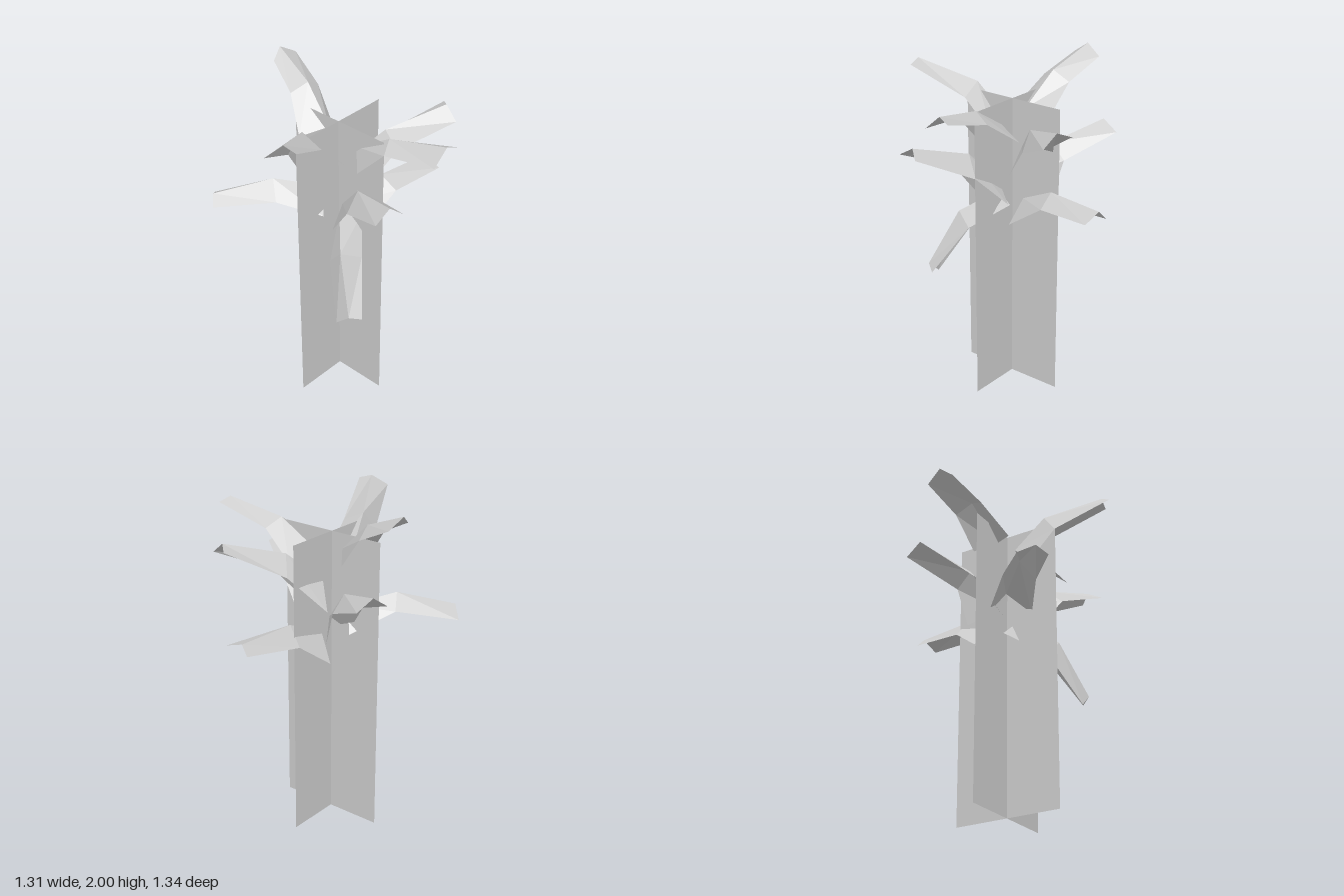
import * as THREE from 'three';

const material = new THREE.MeshStandardMaterial({
  color: 0xcccccc, flatShading: true, side: THREE.DoubleSide,
});

// A folded leaf lofted through cross-sections, each [edge, ridge, edge] points
function leaf(name, ...sections) {
  const geometry = new THREE.BufferGeometry();
  geometry.setAttribute('position', new THREE.Float32BufferAttribute(sections.flat(2), 3));
  const index = [];
  for (let row = 0; row < sections.length - 1; row++) {
    for (let col = 0; col < 2; col++) {
      const a = row * 3 + col, b = a + 1, c = a + 3, d = a + 4;
      index.push(a, b, d, a, d, c);
    }
  }
  geometry.setIndex(index);
  const flat = geometry.toNonIndexed();
  flat.computeVertexNormals();
  const mesh = new THREE.Mesh(flat, material);
  mesh.name = name;
  return mesh;
}

export function createModel() {
  const plant = new THREE.Group();
  plant.name = 'plant';

  // Two crossed upright panels form the stem
  const stem = new THREE.Group();
  stem.name = 'stem';
  for (const [name, turn] of [['stemPanelAcross', 0], ['stemPanelDeep', Math.PI / 2]]) {
    const panel = new THREE.Mesh(new THREE.PlaneGeometry(0.67, 1.78), material);
    panel.name = name;
    panel.rotation.y = turn;
    panel.position.set(-0.065, 0.89, 0.015);
    stem.add(panel);
  }
  plant.add(stem);

  // Leaves: base, bend and tip cross-sections
  plant.add(
    leaf('backLeaf',
      [[-0.18, 1.05, -0.14], [-0.06, 1.19, -0.07], [0.06, 1.06, -0.06]],
      [[-0.105, 1.19, -0.32], [-0.02, 1.3, -0.3], [0.09, 1.23, -0.31]],
      [[-0.03, 1.235, -0.67], [0.02, 1.29, -0.655], [0.14, 1.25, -0.65]]),
    leaf('backLeftLeaf',
      [[-0.19, 1.38, -0.18], [-0.06, 1.51, -0.06], [0.08, 1.38, -0.08]],
      [[-0.015, 1.58, -0.315], [0.075, 1.68, -0.22], [0.157, 1.57, -0.23]],
      [[0.195, 1.755, -0.59], [0.255, 1.78, -0.535], [0.345, 1.71, -0.515]]),
    leaf('leftLeaf',
      [[0.1, 1.6, -0.165], [0.055, 1.66, 0], [0.14, 1.56, 0.085]],
      [[0.315, 1.75, -0.115], [0.285, 1.8, -0.01], [0.325, 1.75, 0.08]],
      [[0.655, 1.845, -0.135], [0.635, 1.87, -0.06], [0.635, 1.785, 0.04]]),
    leaf('frontLeftLeaf',
      [[0.08, 1.195, -0.07], [0.005, 1.285, 0.06], [0.04, 1.18, 0.18]],
      [[0.27, 1.39, 0.01], [0.185, 1.49, 0.13], [0.205, 1.4, 0.24]],
      [[0.565, 1.545, 0.19], [0.52, 1.59, 0.25], [0.515, 1.53, 0.355]]),
    leaf('droopingLeaf',
      [[0.05, 1.18, -0.06], [-0.01, 1.22, 0.07], [-0.13, 1.1, 0.03]],
      [[0.21, 1.04, 0.12], [0.155, 1.1, 0.24], [0.055, 0.99, 0.22]],
      [[0.36, 0.76, 0.28], [0.315, 0.785, 0.345], [0.225, 0.705, 0.35]]),
    leaf('frontLeaf',
      [[0.035, 1.565, 0.075], [-0.13, 1.63, 0.11], [-0.16, 1.51, 0.23]],
      [[0.05, 1.76, 0.27], [-0.08, 1.825, 0.285], [-0.105, 1.71, 0.37]],
      [[0.17, 1.925, 0.575], [0.09, 1.95, 0.59], [0.03, 1.885, 0.67]]),
    leaf('frontRightLeaf',
      [[-0.04, 1.23, 0.17], [-0.15, 1.34, 0.06], [-0.22, 1.2, -0.02]],
      [[-0.26, 1.305, 0.33], [-0.34, 1.405, 0.27], [-0.39, 1.32, 0.19]],
      [[-0.53, 1.265, 0.57], [-0.58, 1.315, 0.52], [-0.655, 1.255, 0.445]]),
    leaf('upperRightLeaf',
      [[-0.25, 1.66, 0.14], [-0.155, 1.7, -0.005], [-0.235, 1.64, -0.115]],
      [[-0.405, 1.84, 0.045], [-0.36, 1.89, -0.05], [-0.38, 1.83, -0.15]],
      [[-0.605, 1.945, -0.025], [-0.63, 2, -0.1], [-0.605, 1.94, -0.2]]),
    leaf('backRightLeaf',
      [[-0.165, 1.19, 0.05], [-0.085, 1.285, -0.03], [-0.185, 1.185, -0.185]],
      [[-0.33, 1.4, -0.04], [-0.26, 1.49, -0.12], [-0.255, 1.4, -0.215]],
      [[-0.625, 1.54, -0.22], [-0.57, 1.585, -0.27], [-0.545, 1.53, -0.38]]),
  );
  return plant;
}
